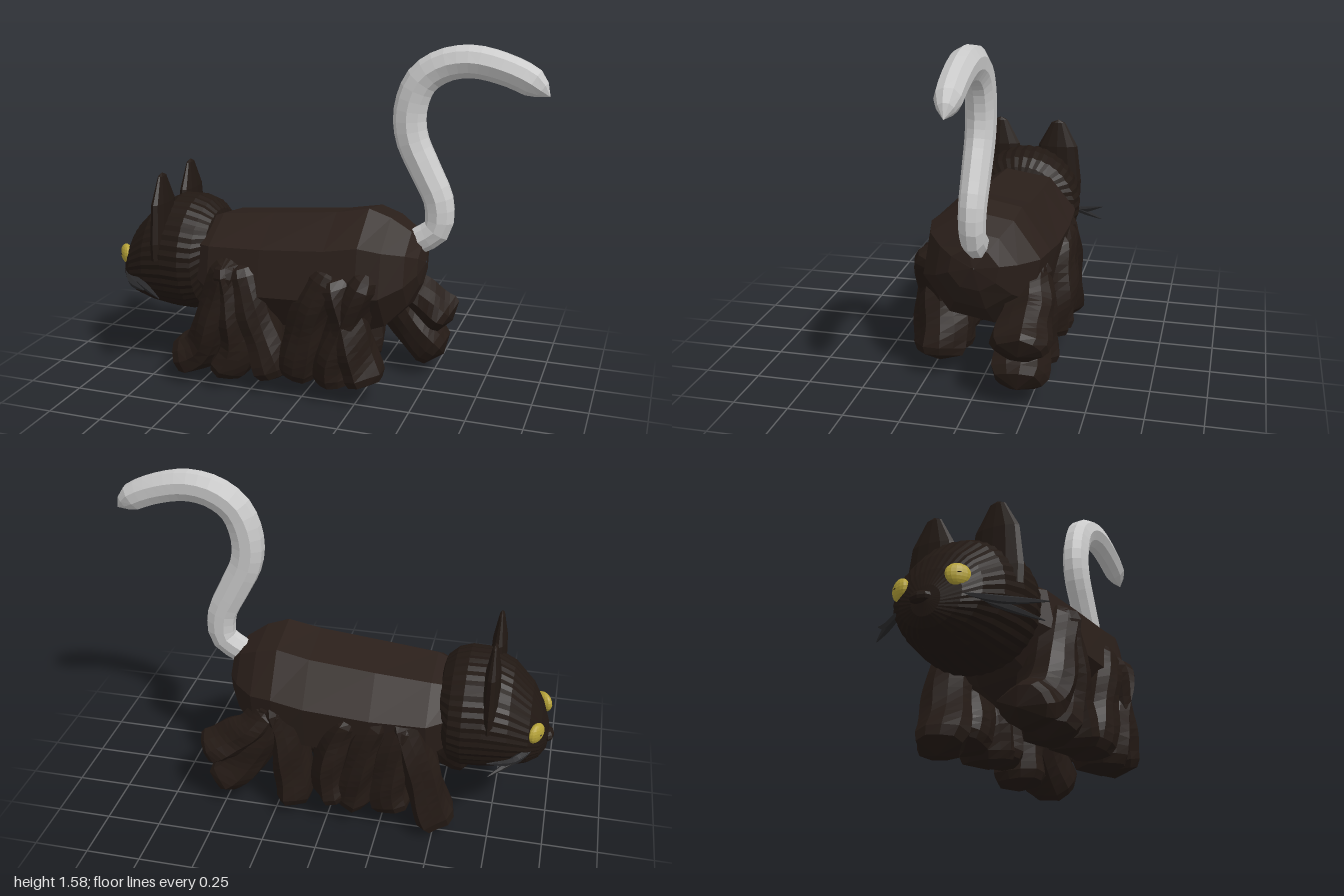
import * as THREE from 'three';

const mat = (color, side = THREE.FrontSide) =>
  new THREE.MeshStandardMaterial({ color, flatShading: true, side });
const FUR = mat(0x2a1f1a), HEAD = mat(0x211813), LEG = mat(0x241a15);
const GREY = mat(0xcccccc), EYE = mat(0xb5a238), WHISKER = mat(0x2b2b2d, THREE.DoubleSide);

function add(parent, name, geometry, material) {
  const m = new THREE.Mesh(geometry, material);
  m.name = name;
  parent.add(m);
  return m;
}

// Closed loft along x; stations are [x, bottom, top, half width]
function loftX(stations, sides, zc, ring, turn = 0) {
  const pos = [], index = [];
  stations.forEach(([x, lo, hi, w]) => {
    for (let j = 0; j < sides; j++) {
      const a = (j / sides) * Math.PI * 2 + turn, k = ring(j);
      pos.push(x, (lo + hi) / 2 + Math.cos(a) * k * (hi - lo) / 2, zc + Math.sin(a) * k * w);
    }
  });
  for (let i = 0; i < stations.length - 1; i++) {
    for (let j = 0; j < sides; j++) {
      const n = (j + 1) % sides, a = i * sides + j, b = i * sides + n;
      index.push(a, b, a + sides, b, b + sides, a + sides);
    }
  }
  const g = new THREE.BufferGeometry();
  g.setAttribute('position', new THREE.Float32BufferAttribute(pos, 3));
  g.setIndex(index);
  g.computeVertexNormals();
  return g;
}

// Tube whose radius follows a rule of (distance along 0..1, side index)
function taperTube(points, segments, sides, radius, zScale = 1) {
  const curve = new THREE.CatmullRomCurve3(points.map(p => new THREE.Vector3(...p)));
  const g = new THREE.TubeGeometry(curve, segments, 1, sides);
  const p = g.attributes.position, v = new THREE.Vector3();
  for (let i = 0; i <= segments; i++) {
    const c = curve.getPointAt(i / segments);
    for (let j = 0; j <= sides; j++) {
      const n = i * (sides + 1) + j;
      v.fromBufferAttribute(p, n).sub(c).multiplyScalar(radius(i / segments, j % sides));
      p.setXYZ(n, c.x + v.x, c.y + v.y, c.z + v.z * zScale);
    }
  }
  g.computeVertexNormals();
  return g;
}

const roundEnds = (t, cap) => Math.sqrt(Math.max(0, 1 - Math.max(0, 1 - Math.min(t, 1 - t) / cap) ** 2));

// Lumpy leg with lengthwise folds
function leg(parent, name, points, r, seed) {
  const radius = (t, j) => r * roundEnds(t, 0.14) * (0.82 + 0.28 * t)
    * (1 + 0.1 * Math.sin(j * 2.4 + seed * 1.7) + 0.06 * Math.sin(t * 14 + j * 1.3 + seed));
  add(parent, name, taperTube(points, 16, 11, radius, 1.28), LEG);
}

export function createModel() {
  const cat = new THREE.Group();
  cat.name = 'cat';

  // Faceted body, rolled slightly so its flat back band sits to one side
  add(cat, 'body', loftX([
    [-0.58, 0.53, 0.55, 0.01], [-0.56, 0.36, 0.72, 0.2], [-0.45, 0.28, 0.76, 0.28],
    [-0.2, 0.25, 0.785, 0.295], [0.1, 0.25, 0.815, 0.295], [0.25, 0.26, 0.845, 0.285],
    [0.35, 0.3, 0.81, 0.26], [0.44, 0.4, 0.75, 0.18], [0.485, 0.5, 0.69, 0.11], [0.5, 0.6, 0.61, 0.01],
  ], 8, -0.01, () => 1.03, 0.22), FUR);

  // Ribbed head, rounded at the back
  const head = new THREE.Group();
  head.name = 'head';
  cat.add(head);
  add(head, 'skull', loftX([
    [-0.98, 0.43, 0.45, 0.01], [-0.97, 0.37, 0.5, 0.065], [-0.94, 0.335, 0.58, 0.14],
    [-0.89, 0.31, 0.67, 0.2], [-0.8, 0.285, 0.765, 0.245], [-0.69, 0.27, 0.82, 0.27],
    [-0.6, 0.27, 0.82, 0.28], [-0.54, 0.29, 0.8, 0.265], [-0.495, 0.38, 0.76, 0.21], [-0.475, 0.53, 0.7, 0.1],
    [-0.47, 0.61, 0.62, 0.01],
  ], 72, -0.01, j => (j % 2 ? 0.98 : 1)), HEAD);

  // Ears: flattened cones with bowed sides
  const earProfile = [[0.12, 0.56], [0.122, 0.64], [0.1, 0.82], [0.035, 0.94], [0, 0.955]];
  for (const s of [1, -1]) {
    const ear = add(head, s > 0 ? 'leftEar' : 'rightEar',
      new THREE.LatheGeometry(earProfile.map(p => new THREE.Vector2(...p)), 12), HEAD);
    ear.scale.x = 0.33;
    ear.position.set(-0.715, 0, s * 0.15 - 0.005);
  }

  // Eyes: [name, x, z, turn]
  for (const [name, x, z, turn] of [['leftEye', -0.938, 0.108, -0.82], ['rightEye', -0.922, -0.157, -2.1]]) {
    const eye = new THREE.Group();
    eye.name = name;
    eye.position.set(x, 0.53, z);
    eye.rotation.y = turn;
    add(eye, 'iris', new THREE.SphereGeometry(0.052, 14, 10), EYE).scale.set(1, 0.9, 0.5);
    const pupil = add(eye, 'pupil', new THREE.SphereGeometry(0.02, 8, 6), HEAD);
    pupil.scale.set(0.8, 0.2, 0.5);
    pupil.position.z = 0.018;
    head.add(eye);
  }

  const nose = add(head, 'nose', new THREE.SphereGeometry(0.035, 8, 6), HEAD);
  nose.position.set(-0.975, 0.45, -0.03);
  nose.scale.set(0.75, 0.75, 1.4);

  // Whiskers: slim blades swept back
  for (const [side, x, y, z] of [[1, -0.71, 0.46, 0.375], [1, -0.66, 0.41, 0.33],
    [-1, -0.74, 0.43, 0.385], [-1, -0.73, 0.5, 0.39]]) {
    add(head, 'whisker', taperTube(
      [[-0.93, 0.45, side * 0.13], [-0.84, 0.44, side * (z - 0.13)], [x, y, side * z]],
      8, 5, t => 0.002 + 0.015 * Math.sin(Math.PI * (0.1 + 0.9 * t))), WHISKER);
  }

  // Bunched legs: [top, knee, ankle, toe] as x, y, z
  const legs = new THREE.Group();
  legs.name = 'legs';
  cat.add(legs);
  const left = [
    [[-0.33, 0.62, 0.22], [-0.41, 0.38, 0.23], [-0.48, 0.17, 0.22], [-0.64, 0.09, 0.2]],
    [[-0.36, 0.62, 0.23], [-0.33, 0.4, 0.22], [-0.32, 0.2, 0.21], [-0.4, 0.03, 0.2]],
    [[-0.3, 0.61, 0.21], [-0.23, 0.35, 0.21], [-0.17, 0.17, 0.2], [-0.13, 0.04, 0.19]],
    [[0.13, 0.62, 0.21], [0.03, 0.36, 0.22], [-0.01, 0.18, 0.21], [-0.03, 0.05, 0.2]],
    [[0.3, 0.62, 0.21], [0.2, 0.36, 0.21], [0.14, 0.18, 0.2], [0.14, 0.03, 0.2]],
    [[0.14, 0.6, 0.21], [0.21, 0.36, 0.21], [0.25, 0.21, 0.2], [0.29, 0.06, 0.2]],
  ];
  const right = [
    [[-0.32, 0.62, -0.21], [-0.42, 0.36, -0.23], [-0.46, 0.17, -0.22], [-0.53, -0.01, -0.21]],
    [[-0.36, 0.6, -0.21], [-0.31, 0.38, -0.23], [-0.29, 0.2, -0.22], [-0.32, 0.06, -0.22]],
    [[-0.25, 0.6, -0.21], [-0.17, 0.38, -0.23], [-0.13, 0.2, -0.22], [-0.1, 0.05, -0.22]],
    [[-0.12, 0.58, -0.21], [-0.03, 0.38, -0.23], [-0.02, 0.2, -0.22], [-0.04, 0.07, -0.22]],
    [[0.25, 0.6, -0.2], [0.19, 0.36, -0.21], [0.17, 0.18, -0.21], [0.16, 0.02, -0.21]],
    [[0.22, 0.6, -0.2], [0.31, 0.36, -0.21], [0.42, 0.2, -0.21], [0.55, 0.09, -0.21]],
    [[0.25, 0.55, -0.2], [0.36, 0.41, -0.22], [0.46, 0.34, -0.22], [0.585, 0.26, -0.22]],
  ];
  left.forEach((p, i) => leg(legs, 'leftLeg' + (i + 1), p, 0.092, i));
  right.forEach((p, i) => leg(legs, 'rightLeg' + (i + 1), p, 0.09, i + 9));

  // Curled tail
  const path = [[0.46, 0.7], [0.54, 0.76], [0.545, 0.88], [0.48, 1.02], [0.415, 1.16], [0.405, 1.28],
    [0.45, 1.41], [0.54, 1.48], [0.66, 1.505], [0.8, 1.48], [0.92, 1.43], [1.0, 1.37]];
  add(cat, 'tail', taperTube(path.map(([x, y], i) => [x, y, -0.02 - 0.0015 * i]), 30, 9,
    (t, j) => (0.062 + 0.014 * Math.sin(t * Math.PI)) * Math.min(1, ((1 - t) / 0.07) ** 0.6)
      * (1 + 0.05 * Math.sin(j * 2.1 + 1)), 0.85), GREY);

  return cat;
}
